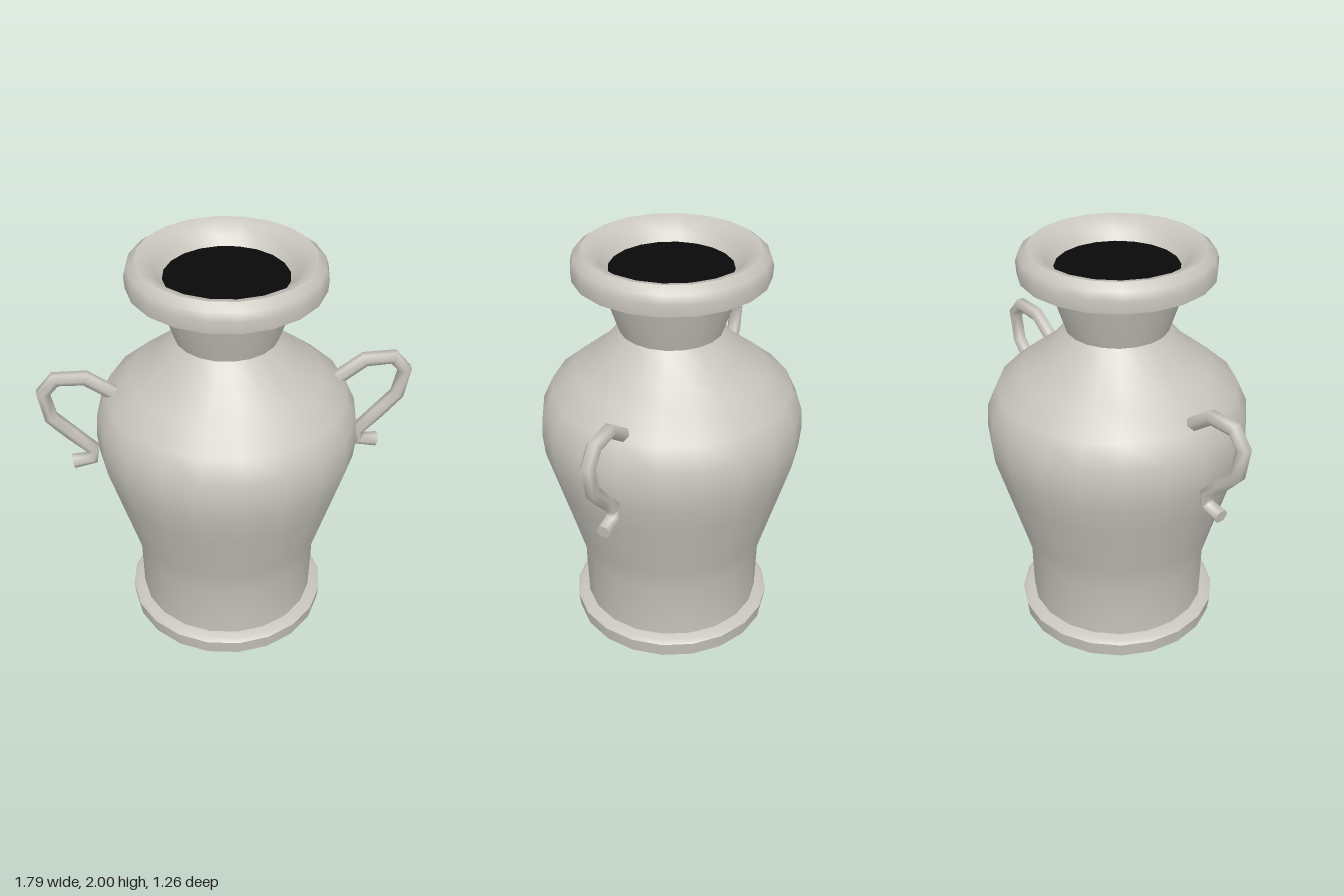
import * as THREE from 'three';
import { toCreasedNormals } from 'three/addons/utils/BufferGeometryUtils.js';

export function createModel() {
  const model = new THREE.Group();
  model.name = 'vase';

  const clay = new THREE.MeshStandardMaterial({ color: 0xc8c5bd });
  clay.name = 'pale clay';
  const dark = new THREE.MeshStandardMaterial({ color: 0x090909 });
  dark.name = 'dark interior';

  const add = (name, geometry, material, parent = model) => {
    const mesh = new THREE.Mesh(geometry, material);
    mesh.name = name;
    parent.add(mesh);
    return mesh;
  };
  // Turned part from [radius, height] pairs, bottom to top
  const turn = (name, profile) => {
    const points = profile.map(([r, y]) => new THREE.Vector2(r, y));
    return add(name, toCreasedNormals(new THREE.LatheGeometry(points, 20), 0.8), clay);
  };

  turn('base', [[0, 0], [0.49, 0], [0.5, 0.075], [0.48, 0.09], [0.42, 0.1]]);
  turn('body', [
    [0.44, 0.09], [0.448, 0.38], [0.49, 0.53], [0.575, 0.82], [0.622, 0.98],
    [0.632, 1.08], [0.625, 1.19], [0.575, 1.3], [0.46, 1.395], [0.34, 1.49], [0.245, 1.6],
  ]);
  turn('neck', [[0.245, 1.6], [0.285, 1.72], [0.325, 1.85]]);
  turn('rim', [
    [0.3, 1.838], [0.456, 1.868], [0.46, 1.925], [0.448, 1.965], [0.41, 1.995],
    [0.37, 1.985], [0.325, 1.94], [0.285, 1.895],
  ]);

  // Dark mouth just inside the rim
  const mouth = add('mouth', new THREE.CircleGeometry(0.3, 20), dark);
  mouth.rotation.x = -Math.PI / 2;
  mouth.position.y = 1.9;

  // Scrolled handles: a six-sided tube bent at each path point
  const path = [
    [0.53, 1.31], [0.665, 1.408], [0.805, 1.412], [0.867, 1.34], [0.84, 1.2],
    [0.745, 1.095], [0.655, 1.0], [0.662, 0.945], [0.755, 0.93],
  ].map(([x, y]) => new THREE.Vector3(x, y, 0));
  const curve = new THREE.CatmullRomCurve3(path);
  curve.getPointAt = (t, target) => curve.getPoint(t, target);
  curve.getTangentAt = (t, target) => curve.getTangent(t, target);
  const tube = new THREE.TubeGeometry(curve, path.length - 1, 0.036, 6);

  for (const [name, angle] of [['leftHandle', 0], ['rightHandle', Math.PI]]) {
    const handle = new THREE.Group();
    handle.name = name;
    handle.rotation.y = angle;
    add('handleTube', tube, clay, handle);
    // Closed ends
    for (const [t, sign] of [[0, -1], [1, 1]]) {
      const cap = add('handleEnd', new THREE.CircleGeometry(0.036, 6), clay, handle);
      cap.position.copy(curve.getPoint(t));
      cap.lookAt(cap.position.clone().addScaledVector(curve.getTangent(t), sign).applyAxisAngle(new THREE.Vector3(0, 1, 0), angle));
    }
    model.add(handle);
  }
  return model;
}
